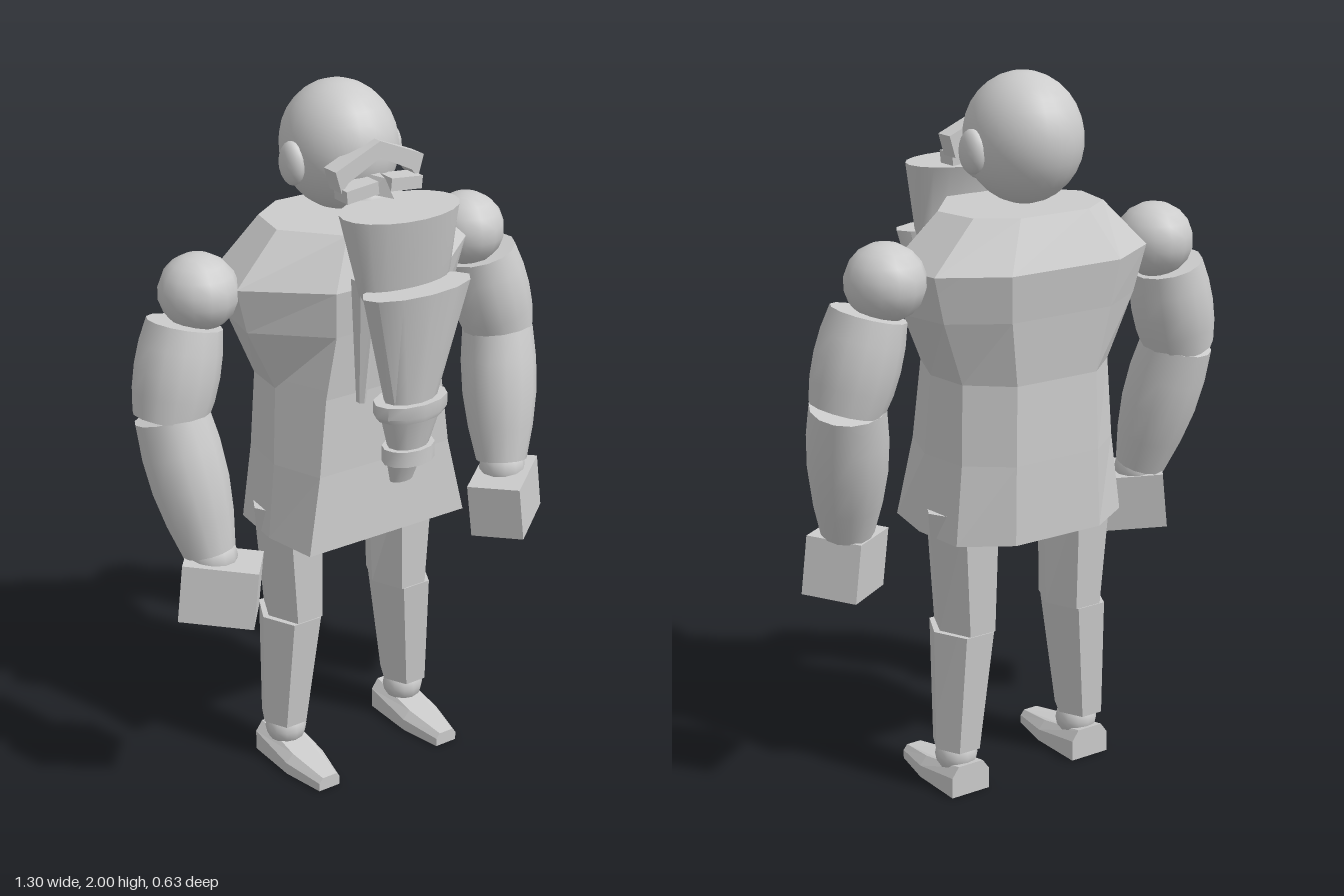
import * as THREE from 'three';
import { toCreasedNormals } from 'three/addons/utils/BufferGeometryUtils.js';

const grey = new THREE.MeshStandardMaterial({ color: 0xcccccc });
grey.name = 'light grey';

// Capped skin over rings listed from bottom to top, each running +z towards +x.
function loft(rings, crease = 0.02) {
  const n = rings[0].length, pos = [], idx = [];
  rings.forEach(r => r.forEach(p => pos.push(...p)));
  for (let k = 0; k < rings.length - 1; k++)
    for (let i = 0; i < n; i++) {
      const a = k * n + i, b = k * n + (i + 1) % n;
      idx.push(a, b, b + n, a, b + n, a + n);
    }
  const t = (rings.length - 1) * n;
  for (let i = 1; i < n - 1; i++) idx.push(0, i + 1, i, t, t + i, t + i + 1);
  const g = new THREE.BufferGeometry();
  g.setAttribute('position', new THREE.Float32BufferAttribute(pos, 3));
  g.setIndex(idx);
  return toCreasedNormals(g, crease);
}

// Elliptical ring from centre and radii
function ring(y, cx, cz, rx, rz, n, turn = 0) {
  return Array.from({ length: n }, (_, i) => {
    const a = (i / n) * Math.PI * 2 + turn;
    return [cx + rx * Math.sin(a), y, cz + rz * Math.cos(a)];
  });
}

export function createModel() {
  const model = new THREE.Group();
  const add = (name, geo, x = 0, y = 0, z = 0) => {
    const m = new THREE.Mesh(geo, grey);
    m.name = name;
    m.position.set(x, y, z);
    model.add(m);
    return m;
  };
  const ball = (name, x, y, z, rx, ry = rx, rz = rx, seg = 16) => {
    const m = add(name, new THREE.SphereGeometry(1, seg, Math.ceil(seg * 0.6)), x, y, z);
    m.scale.set(rx, ry, rz);
    return m;
  };

  // Torso: eight-sided sections as front, side front, side back, back (x, z)
  const sections = [
    [0.76, 0.26, 0.12, 0.29, -0.04, 0.275, -0.2, 0.14, -0.285],
    [0.98, 0.215, 0.105, 0.27, -0.04, 0.25, -0.19, 0.135, -0.28],
    [1.2, 0.19, 0.1, 0.255, -0.05, 0.24, -0.18, 0.13, -0.275],
    [1.38, 0.165, 0.115, 0.34, -0.05, 0.31, -0.2, 0.16, -0.295],
    [1.51, 0.175, 0.13, 0.375, -0.04, 0.345, -0.21, 0.175, -0.315],
    [1.645, 0.11, 0.085, 0.235, -0.06, 0.21, -0.19, 0.11, -0.26],
  ];
  add('torso', loft(sections.map(([y, ...c]) => {
    const half = [0, 2, 4, 6].map(i => [c[i], y, c[i + 1]]);
    return [...half, ...half.map(([x, , z]) => [-x, y, z]).reverse()];
  })));

  // Head
  ball('head', 0, 1.825, -0.115, 0.155, 0.175, 0.175, 24);
  ball('mouth', 0, 1.715, 0.055, 0.06, 0.03, 0.03, 12);
  const plate = (pts, depth) => new THREE.ExtrudeGeometry(
    new THREE.Shape(pts.map(p => new THREE.Vector2(...p))), { depth, bevelEnabled: false });
  add('brow', plate([[-0.122, 1.76], [-0.1, 1.785], [0, 1.835], [0.1, 1.785], [0.122, 1.76],
    [0.14, 1.82], [0, 1.88], [-0.14, 1.82]], 0.055), 0, 0, 0.023);
  add('nose', loft([
    [[0, 1.74, 0.14], [0.035, 1.74, 0.06], [-0.035, 1.74, 0.06]],
    [[0, 1.785, 0.1], [0.015, 1.785, 0.05], [-0.015, 1.785, 0.05]],
  ]));

  // Beard: upper mass, hanging cone, bands and tip
  const beard = (name, rows, n) =>
    add(name, loft(rows.map(([y, rx, back, front]) =>
      ring(y, 0, (back + front) / 2, rx, (front - back) / 2, n)), 0.75));
  beard('upperBeard', [[1.5, 0.135, 0.12, 0.235], [1.54, 0.145, 0.125, 0.245], [1.725, 0.176, 0.05, 0.28]], 20);
  beard('lowerBeard', [[1.2, 0.078, 0.17, 0.27], [1.53, 0.17, 0.175, 0.315]], 12);
  beard('upperBeardBand', [[1.16, 0.1, 0.155, 0.285], [1.175, 0.112, 0.15, 0.29], [1.21, 0.112, 0.15, 0.29]], 12);
  beard('beardLink', [[1.065, 0.06, 0.165, 0.255], [1.165, 0.09, 0.16, 0.28]], 12);
  beard('lowerBeardBand', [[1.025, 0.078, 0.155, 0.27], [1.07, 0.078, 0.155, 0.27]], 12);
  beard('beardTip', [[0.95, 0.035, 0.16, 0.2], [1.03, 0.055, 0.155, 0.235]], 12);

  for (const s of [1, -1]) {
    const side = s > 0 ? 'left' : 'right';
    // Face details
    ball(side + 'Ear', s * 0.155, 1.8, -0.105, 0.03, 0.06, 0.047);
    const m = add(side + 'Moustache', new THREE.BoxGeometry(0.1, 0.035, 0.06), s * 0.07, 1.758, 0.07);
    m.rotation.z = -s * 0.1;
    add(side + 'BeardLock', loft([
      ring(1.2, s * 0.115, 0.155, 0.012, 0.015, 6),
      ring(1.55, s * 0.105, 0.165, 0.038, 0.045, 6),
    ]));

    // Barrel-shaped limb between two points
    const barrel = (name, from, to, radii) => {
      const a = new THREE.Vector3(s * from[0], from[1], from[2]);
      const b = new THREE.Vector3(s * to[0], to[1], to[2]);
      const h = a.distanceTo(b), k = radii.length - 1;
      const geo = loft(radii.map((r, i) => ring((i / k - 0.5) * h, 0, 0, r, r, 14)), 0.8);
      const mesh = add(name, geo, ...a.clone().add(b).multiplyScalar(0.5).toArray());
      mesh.quaternion.setFromUnitVectors(new THREE.Vector3(0, 1, 0), b.sub(a).normalize());
    };

    // Arm
    ball(side + 'Shoulder', s * 0.44, 1.497, -0.125, 0.108, 0.105, 0.113, 14);
    barrel(side + 'UpperArm', [0.553, 1.17, -0.105], [0.488, 1.42, -0.12], [0.1, 0.112, 0.116, 0.113, 0.103]);
    barrel(side + 'Forearm', [0.5, 0.8, -0.01], [0.547, 1.18, -0.105], [0.074, 0.095, 0.108, 0.11, 0.102]);
    ball(side + 'Wrist', s * 0.495, 0.785, 0, 0.068, 0.068, 0.068, 12);
    const hand = add(side + 'Hand', new THREE.BoxGeometry(0.207, 0.165, 0.157), s * 0.487, 0.698, 0.025);
    hand.rotation.set(0, s * 0.65, s * 0.12, 'ZYX');

    // Leg: six-sided thigh and shin
    const turn = Math.PI / 6;
    add(side + 'Thigh', loft([
      ring(0.48, s * 0.18, -0.095, 0.082, 0.105, 6, turn),
      ring(0.83, s * 0.19, -0.1, 0.108, 0.115, 6, turn),
    ]));
    add(side + 'Shin', loft([
      ring(0.13, s * 0.213, -0.1, 0.067, 0.078, 6, turn),
      ring(0.48, s * 0.19, -0.095, 0.09, 0.108, 6, turn),
    ]));
    ball(side + 'Ankle', s * 0.21, 0.1, -0.095, 0.06, 0.06, 0.06, 12);

    // Foot: wedge with narrow toe and chamfered top
    const sole = [[0.035, 0.13], [0.062, 0], [0.062, -0.165]];
    const outline = (k, ys) => {
      const r = sole.map(([x, z], i) => [x * k, ys[i], z]);
      const all = [...r, ...r.map(([x, y, z]) => [-x, y, z]).reverse()];
      return all.map(([x, y, z]) => [x + s * 0.208, y, z]);
    };
    add(side + 'Foot', loft([
      outline(1, [0, 0, 0]), outline(1, [0.025, 0.035, 0.06]), outline(0.65, [0.04, 0.06, 0.09]),
    ]));
  }
  return model;
}
